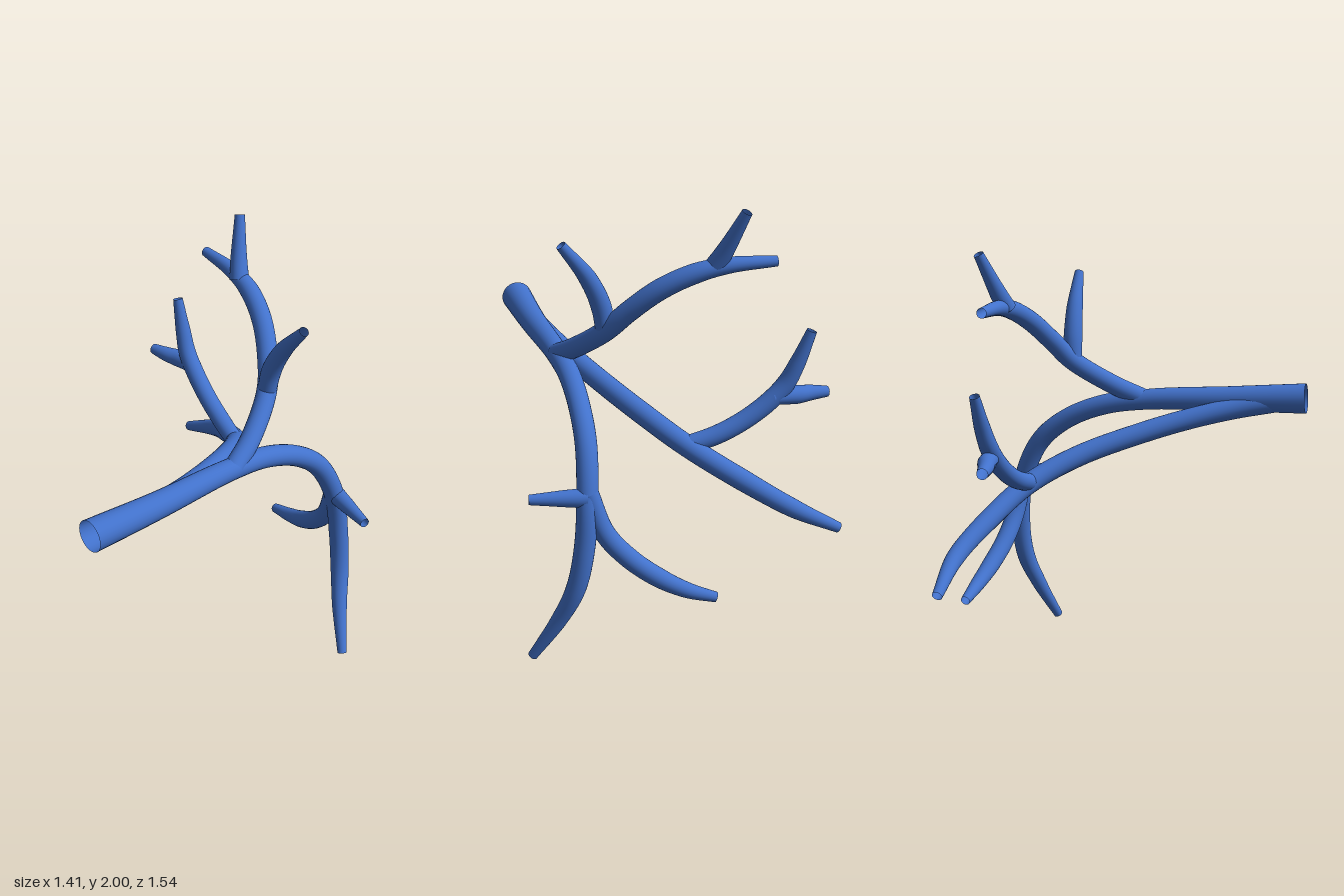
import * as THREE from 'three';

const vesselBlue = new THREE.MeshStandardMaterial({ color: 0x4272cc, side: THREE.DoubleSide });
vesselBlue.name = 'vesselBlue';

// Open tapering tube through points [x, y, z, radius]
function vessel(name, points) {
  const curve = new THREE.CatmullRomCurve3(points.map(([x, y, z]) => new THREE.Vector3(x, y, z)));
  const steps = points.length * 8, sides = 24, last = points.length - 1;
  const geo = new THREE.TubeGeometry(curve, steps, 1, sides, false);
  const pos = geo.attributes.position, nor = geo.attributes.normal;
  for (let i = 0; i <= steps; i++) {
    const u = i / steps;
    const centre = curve.getPointAt(u);
    const t = curve.getUtoTmapping(u) * last;
    const k = Math.min(Math.floor(t), last - 1);
    const r = THREE.MathUtils.lerp(points[k][3], points[k + 1][3], t - k);
    for (let j = 0; j <= sides; j++) {
      const v = i * (sides + 1) + j;
      pos.setXYZ(v, centre.x + nor.getX(v) * r, centre.y + nor.getY(v) * r, centre.z + nor.getZ(v) * r);
    }
  }
  const mesh = new THREE.Mesh(geo, vesselBlue);
  mesh.name = name;
  return mesh;
}

export function createModel() {
  const group = new THREE.Group();
  group.name = 'branchingVessel';
  group.add(
    // Thick trunk running back, then curving down to the lowest tip
    vessel('trunk', [
      [0.505, 1.27, 0.76, 0.072], [0.485, 1.253, 0.4, 0.06], [0.45, 1.235, 0, 0.05],
      [0.432, 1.2, -0.22, 0.049], [0.426, 1.12, -0.41, 0.048], [0.428, 1.0, -0.55, 0.048],
      [0.445, 0.8, -0.645, 0.047], [0.465, 0.58, -0.672, 0.046], [0.505, 0.38, -0.662, 0.044],
      [0.575, 0.21, -0.615, 0.036], [0.685, 0.015, -0.553, 0.022]]),
    // Long side branch
    vessel('sideBranch', [
      [0.49, 1.245, 0.6, 0.05], [0.445, 1.212, 0.42, 0.05], [0.375, 1.165, 0.22, 0.05],
      [0.27, 1.1, 0, 0.05], [0.12, 1.01, -0.25, 0.05], [-0.05, 0.903, -0.44, 0.049],
      [-0.27, 0.77, -0.565, 0.048], [-0.48, 0.647, -0.642, 0.042], [-0.695, 0.53, -0.645, 0.024]]),
    // Rising twig from the side branch, with its fork
    vessel('sideTwig', [
      [-0.04, 0.905, -0.435, 0.042], [-0.18, 0.95, -0.45, 0.043], [-0.3, 1.01, -0.458, 0.043],
      [-0.41, 1.09, -0.465, 0.043], [-0.485, 1.17, -0.47, 0.042], [-0.535, 1.27, -0.48, 0.036],
      [-0.592, 1.415, -0.49, 0.023]]),
    vessel('sideTwigFork', [
      [-0.42, 1.115, -0.475, 0.035], [-0.54, 1.11, -0.458, 0.042], [-0.61, 1.105, -0.437, 0.036],
      [-0.697, 1.098, -0.42, 0.025]]),
    // Upper branch with two forks
    vessel('upperBranch', [
      [0.452, 1.24, -0.03, 0.045], [0.4, 1.305, -0.16, 0.046], [0.29, 1.435, -0.335, 0.046],
      [0.2, 1.54, -0.405, 0.046], [0.08, 1.645, -0.465, 0.046], [-0.06, 1.715, -0.503, 0.044],
      [-0.2, 1.745, -0.517, 0.036], [-0.415, 1.75, -0.52, 0.023]]),
    vessel('upperTipFork', [
      [-0.14, 1.735, -0.505, 0.045], [-0.18, 1.81, -0.53, 0.039], [-0.257, 1.99, -0.59, 0.023]]),
    vessel('upperFork', [
      [0.292, 1.43, -0.333, 0.042], [0.312, 1.55, -0.338, 0.045], [0.37, 1.68, -0.348, 0.039],
      [0.486, 1.835, -0.362, 0.022]]),
    // Lower branch and short stub at the trunk fork
    vessel('lowerBranch', [
      [0.44, 0.82, -0.645, 0.044], [0.375, 0.635, -0.668, 0.045], [0.275, 0.515, -0.69, 0.045],
      [0.15, 0.42, -0.72, 0.043], [0.03, 0.357, -0.743, 0.035], [-0.1, 0.312, -0.755, 0.023]]),
    vessel('lowerStub', [
      [0.445, 0.8, -0.652, 0.044], [0.55, 0.802, -0.637, 0.036], [0.693, 0.803, -0.618, 0.022]])
  );
  return group;
}
